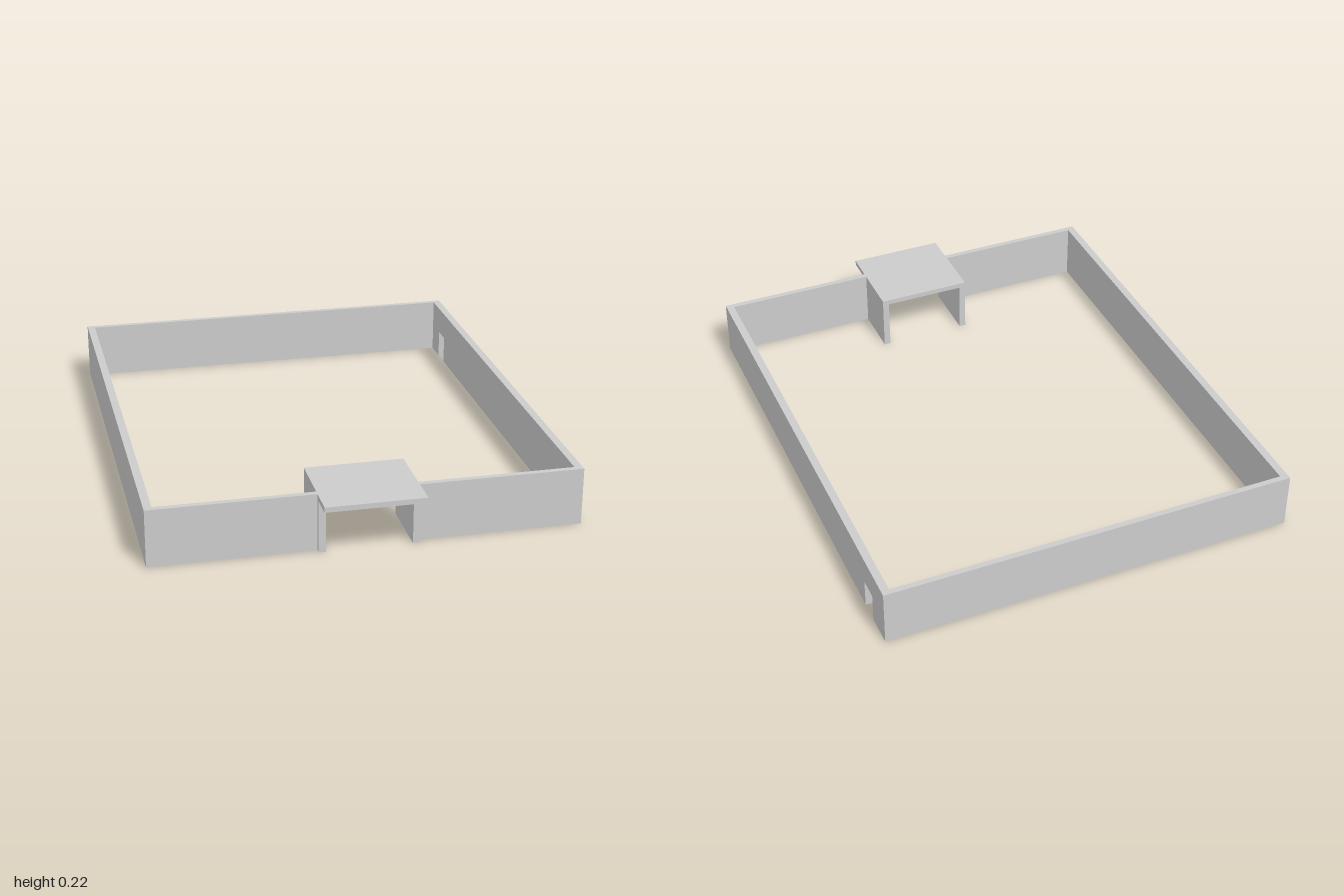
import * as THREE from 'three';

const H = 0.22;      // wall height
const X = 0.8;       // half width
const BACK = -1, FRONT = 0.888;
const SIDE_T = 0.03, END_T = 0.022;

export function createModel() {
  const group = new THREE.Group();
  const material = new THREE.MeshStandardMaterial({ color: 0xcccccc, flatShading: true });

  const add = (name, geometry) => {
    const mesh = new THREE.Mesh(geometry, material);
    mesh.name = name;
    group.add(mesh);
    return mesh;
  };

  // Box given by its lower and upper limits on each axis
  const box = (name, x0, x1, y0, y1, z0, z1) =>
    add(name, new THREE.BoxGeometry(x1 - x0, y1 - y0, z1 - z0))
      .position.set((x0 + x1) / 2, (y0 + y1) / 2, (z0 + z1) / 2);

  // Plain perimeter walls
  box('rightWall', -X, -X + SIDE_T, 0, H, BACK, FRONT);
  box('backWall', -X + SIDE_T, X - SIDE_T, 0, H, BACK, BACK + END_T);

  // Left wall with a small doorway near the back, drawn in the (-z, y) plane
  const outline = new THREE.Shape([
    [-FRONT, 0], [0.8, 0], [0.8, 0.112], [0.88, 0.112],
    [0.88, 0], [-BACK, 0], [-BACK, H], [-FRONT, H],
  ].map(([u, v]) => new THREE.Vector2(u, v)));
  const leftWall = add('leftWall', new THREE.ExtrudeGeometry(outline, { depth: SIDE_T, bevelEnabled: false }));
  leftWall.rotation.y = Math.PI / 2;
  leftWall.position.x = X - SIDE_T;

  // Entrance: front walls stop at two deep side panels under a flat canopy
  const PX0 = -0.188, PX1 = 0.184, PT = 0.026, PZ0 = 0.66, SLAB = 0.2;
  box('frontWallRight', -X + SIDE_T, PX0, 0, H, FRONT - END_T, FRONT);
  box('frontWallLeft', PX1, X - SIDE_T, 0, H, FRONT - END_T, FRONT);
  box('entrancePanelRight', PX0, PX0 + PT, 0, SLAB, PZ0, 0.907);
  box('entrancePanelLeft', PX1 - PT, PX1, 0, SLAB, PZ0, 0.907);
  box('entranceCanopy', PX0, PX1, SLAB, H, PZ0, 1);

  return group;
}
